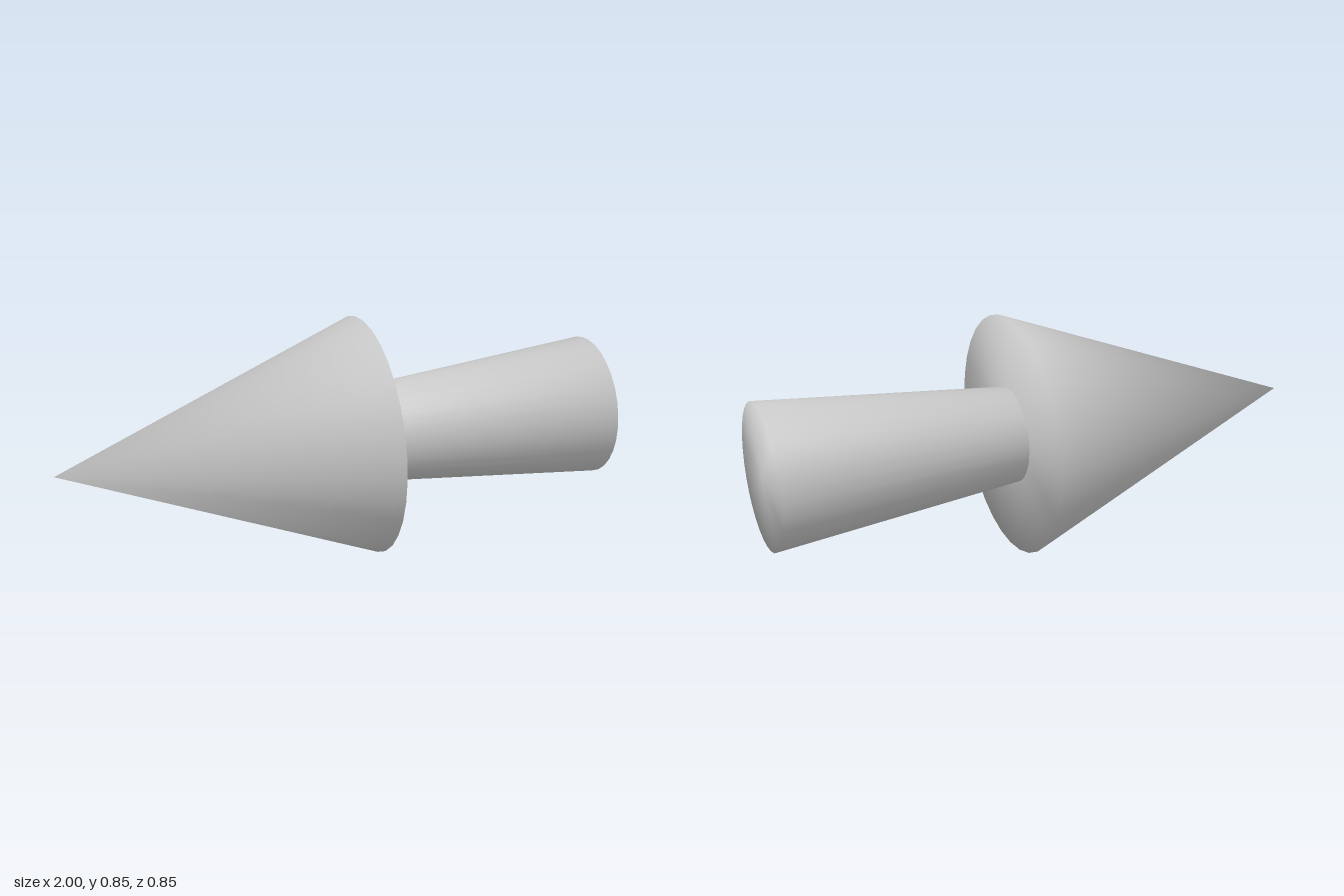
import * as THREE from 'three';
import { mergeVertices } from 'three/addons/utils/BufferGeometryUtils.js';

const SIDES = 32;
const AXIS_Y = 0.427;

// Frustum lying along x, with normals smoothed across its rims
function frustum(name, x0, x1, r0, r1, material) {
  let geo = new THREE.CylinderGeometry(r1, r0, x1 - x0, SIDES);
  geo.rotateZ(-Math.PI / 2);
  geo.deleteAttribute('normal');
  geo.deleteAttribute('uv');
  geo = mergeVertices(geo, 1e-4);
  geo.computeVertexNormals();
  const mesh = new THREE.Mesh(geo, material);
  mesh.name = name;
  mesh.position.set((x0 + x1) / 2, AXIS_Y, 0);
  return mesh;
}

export function createModel() {
  const group = new THREE.Group();
  group.name = 'arrow';
  const material = new THREE.MeshStandardMaterial({ color: 0xcccccc });

  // Pointed head, tip towards -x
  group.add(frustum('arrowHead', -1, 0.107, 0, 0.427, material));
  // Flared shaft, set slightly into the head
  group.add(frustum('arrowShaft', 0.1, 1, 0.17, 0.255, material));

  return group;
}
